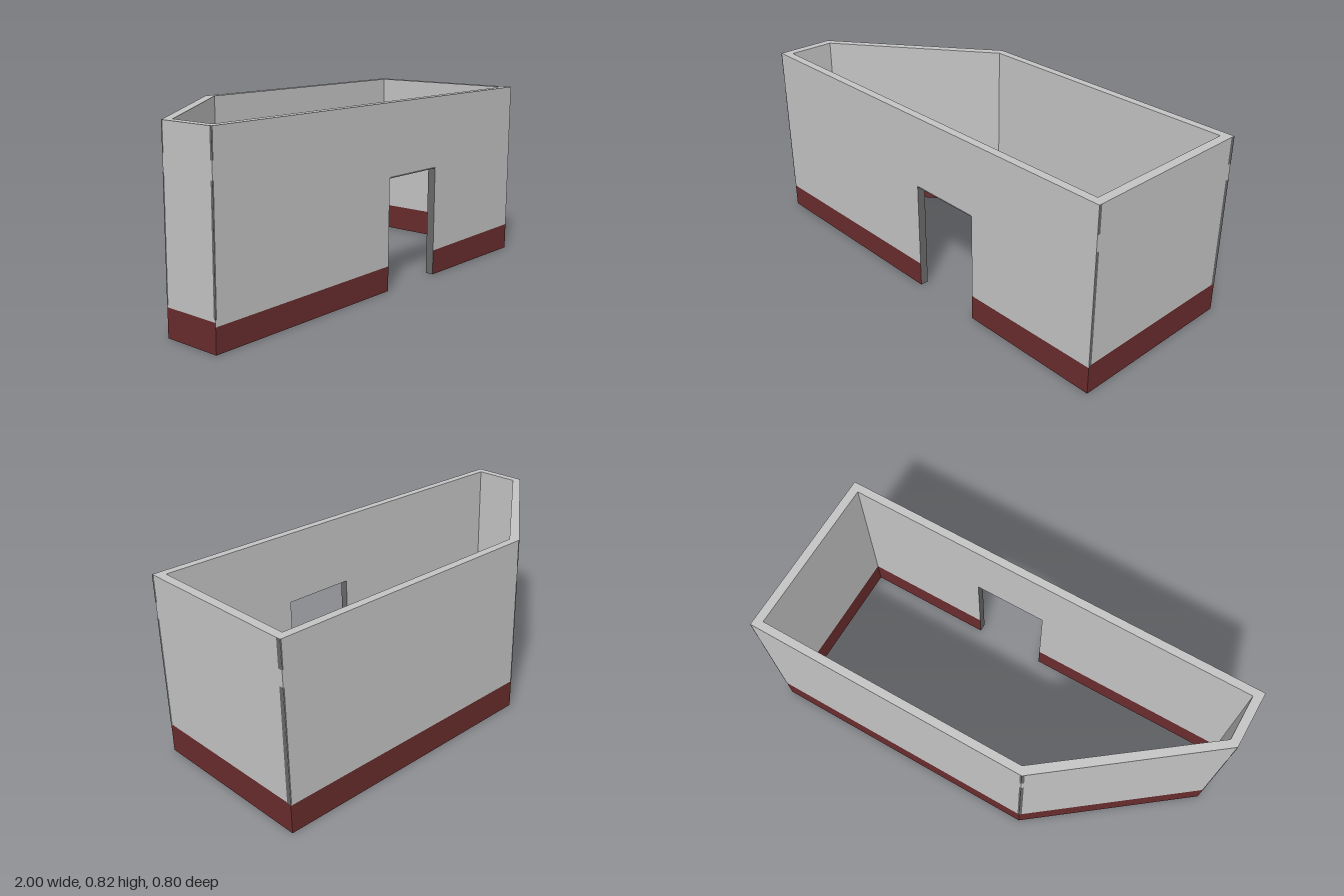
import * as THREE from 'three';

const H = 0.825, DOOR_TOP = 0.5;

// Quads given as four corners, counter-clockwise from the visible side.
function quads(list) {
  const pos = [];
  for (const [a, b, c, d] of list) pos.push(...a, ...b, ...c, ...a, ...c, ...d);
  const g = new THREE.BufferGeometry();
  g.setAttribute('position', new THREE.Float32BufferAttribute(pos, 3));
  g.computeVertexNormals();
  return g;
}
const at = ([x, z], y) => [x, y, z];

// Upright quad from plan point p to q, with its own heights at either end.
const upright = (p, q, p0, q0, p1, q1) => [at(p, p0), at(q, q0), at(q, q1), at(p, p1)];

export function createModel() {
  const group = new THREE.Group();
  const material = (name, color) => {
    const m = new THREE.MeshStandardMaterial({ color });
    m.name = name;
    return m;
  };
  const grey = material('wall grey', 0xc3c3c3);
  const red = material('base red', 0x692c2d);
  const dark = material('edge dark grey', 0x696969);

  const add = (name, list, mat) => {
    const mesh = new THREE.Mesh(quads(list), mat);
    mesh.name = name;
    group.add(mesh);
  };

  // Plan stations, anticlockwise from above: outer point, inner point.
  const frontLeft = { o: [-1, 0.4], i: [-0.96, 0.363] };
  const doorA = { o: [0.01, 0.4], i: [0.01, 0.363] };
  const doorB = { o: [0.35, 0.4], i: [0.35, 0.363] };
  const frontRight = { o: [1, 0.4], i: [0.96, 0.363] };
  const backRight = { o: [1, -0.4], i: [0.96, -0.363] };
  const backLeft = { o: [-0.31, -0.4], i: [-0.29, -0.363] };
  const sideLeft = { o: [-1, 0.135], i: [-0.96, 0.15] };

  // Each wall: name, ends, height of the painted base at both ends.
  const walls = [
    ['frontWallA', frontLeft, doorA, 0.105, 0.112],
    ['frontWallB', doorB, frontRight, 0.114, 0.123],
    ['endWall', frontRight, backRight, 0.132, 0.132],
    ['backWall', backRight, backLeft, 0.127, 0.128],
    ['slantedWall', backLeft, sideLeft, 0.128, 0.125],
    ['shortWall', sideLeft, frontLeft, 0.122, 0.122],
  ];
  const inside = 0.125;
  for (const [name, a, b, ha, hb] of walls) {
    add(name, [
      upright(a.o, b.o, ha, hb, H, H),
      upright(b.i, a.i, inside, inside, H, H),
      [at(a.o, H), at(b.o, H), at(b.i, H), at(a.i, H)],
    ], grey);
    add(name + 'Base', [
      upright(a.o, b.o, 0, 0, ha, hb),
      upright(b.i, a.i, 0, 0, inside, inside),
      [at(a.i, 0), at(b.i, 0), at(b.o, 0), at(a.o, 0)],
    ], red);
  }

  // Wall over the doorway, and the reveal of the opening
  add('doorHead', [
    upright(doorA.o, doorB.o, DOOR_TOP, DOOR_TOP, H, H),
    upright(doorB.i, doorA.i, DOOR_TOP, DOOR_TOP, H, H),
    [at(doorA.o, H), at(doorB.o, H), at(doorB.i, H), at(doorA.i, H)],
  ], grey);
  add('doorReveal', [
    upright(doorA.o, doorA.i, 0, 0, DOOR_TOP, DOOR_TOP),
    upright(doorB.i, doorB.o, 0, 0, DOOR_TOP, DOOR_TOP),
    [at(doorA.i, DOOR_TOP), at(doorB.i, DOOR_TOP), at(doorB.o, DOOR_TOP), at(doorA.o, DOOR_TOP)],
  ], dark);
  add('doorHeadLine', [
    upright([0.01, 0.401], [0.35, 0.401], 0.5, 0.5, 0.507, 0.507),
  ], dark);

  // Thin dark strips along the outer corners, broken near the top
  const strip = (name, a, b, widthA, widthB) => {
    const dx = b.o[0] - a.o[0], dz = b.o[1] - a.o[1], len = Math.hypot(dx, dz);
    const point = (s) => [
      a.o[0] + (dx * s - dz * 0.001) / len,
      a.o[1] + (dz * s + dx * 0.001) / len,
    ];
    const list = [];
    for (const [s, e] of [[0, widthA], [len - widthB, len]]) {
      if (e - s < 0.001) continue;
      for (const [lo, hi] of [[0.132, 0.635], [0.705, H]]) {
        list.push(upright(point(s), point(e), lo, lo, hi, hi));
      }
    }
    add(name, list, dark);
  };
  strip('endWallEdges', frontRight, backRight, 0.013, 0.02);
  strip('backWallEdges', backRight, backLeft, 0.006, 0.008);
  strip('slantedWallEdges', backLeft, sideLeft, 0.012, 0.006);
  strip('shortWallEdges', sideLeft, frontLeft, 0.008, 0.008);
  strip('frontWallEdge', frontLeft, doorA, 0.006, 0);

  return group;
}
